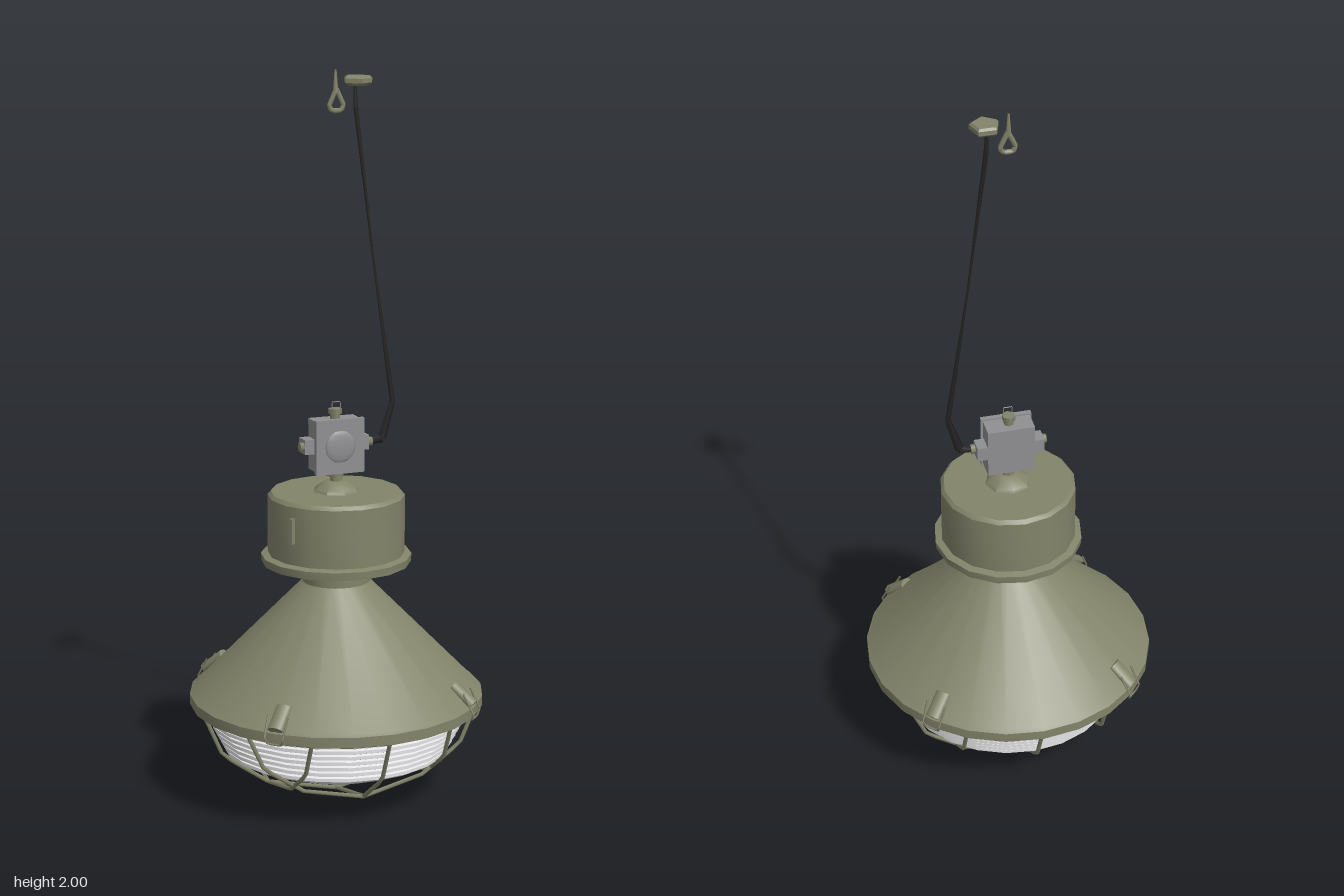
import * as THREE from 'three';
import { toCreasedNormals } from 'three/addons/utils/BufferGeometryUtils.js';

const material = (name, color) => {
  const m = new THREE.MeshStandardMaterial({ color, side: THREE.DoubleSide });
  m.name = name;
  return m;
};
const V = (x, y, z) => new THREE.Vector3(x, y, z);

export function createModel() {
  const olive = material('olive enamel', 0x82846a);
  const grey = material('grey metal', 0x909092);
  const glassGrey = material('frosted glass', 0xe4e4e6);
  const black = material('black cable', 0x222222);
  const root = new THREE.Group();
  root.name = 'cagedPendantLamp';

  const add = (name, geo, mat, pos = [0, 0, 0], parent = root) => {
    const mesh = new THREE.Mesh(geo, mat);
    mesh.name = name;
    mesh.position.set(...pos);
    parent.add(mesh);
    return mesh;
  };
  const lathe = (name, points, sides, mat, pos) => add(name, toCreasedNormals(
    new THREE.LatheGeometry(points.map(p => new THREE.Vector2(...p)), sides), 0.55), mat, pos);
  // straight-edged bar through a few points
  const bar = (name, points, radius, mat, parent = root, closed = false) => {
    const path = new THREE.CurvePath();
    const n = closed ? points.length : points.length - 1;
    for (let i = 0; i < n; i++) path.add(new THREE.LineCurve3(points[i], points[(i + 1) % points.length]));
    return add(name, new THREE.TubeGeometry(path, n * 4, radius, 5, closed), mat, [0, 0, 0], parent);
  };

  // conical shade with its rolled rim
  lathe('shade', [[0.36, 0.275], [0.395, 0.27], [0.405, 0.272], [0.405, 0.3], [0.395, 0.307], [0.093, 0.615]], 24, olive);
  lathe('neck', [[0.093, 0.61], [0.093, 0.685]], 16, olive);

  // ballast drum, with stepped underside and flange
  lathe('drum', [[0.09, 0.69], [0.13, 0.69], [0.135, 0.678], [0.165, 0.678], [0.17, 0.668], [0.204, 0.668],
    [0.206, 0.69], [0.187, 0.695], [0.187, 0.855], [0.178, 0.865], [0, 0.867]], 16, olive);
  lathe('drumBoss', [[0.064, 0.866], [0.06, 0.873], [0.03, 0.893], [0.018, 0.895], [0.018, 0.93]], 8, olive);

  // small latch on the drum's side, toward the front
  const latch = add('drumLatch', new THREE.BoxGeometry(0.014, 0.07, 0.01), olive, [-0.164, 0.79, 0.095]);
  latch.rotation.y = Math.PI / 6;

  // ribbed glass bowl
  const glass = [[0, 0.026], [0.16, 0.078], [0.3, 0.135]];
  for (let i = 0; i < 7; i++) {
    const y = 0.14 + i * 0.019, r = 0.305 + i * 0.0098;
    glass.push([r + 0.008, y + 0.003], [r + 0.008, y + 0.012], [r, y + 0.015]);
  }
  lathe('glassBowl', glass, 24, glassGrey);

  // wire guard: a grid of bars bent over the bowl
  const guard = [[0, 0.01], [0.2, 0.055], [0.28, 0.105], [0.34, 0.155], [0.37, 0.21], [0.388, 0.275]];
  const guardY = r => {
    let i = 1;
    while (i < guard.length - 1 && guard[i][0] < r) i++;
    const [a, b] = [guard[i - 1], guard[i]];
    return a[1] + (b[1] - a[1]) * (r - a[0]) / (b[0] - a[0]);
  };
  const cage = new THREE.Group();
  cage.name = 'wireGuard';
  root.add(cage);
  for (const d of [-0.2, 0, 0.2]) {
    const end = Math.sqrt(0.388 ** 2 - d * d);
    const steps = [-1, -0.86, -0.52, 0, 0.52, 0.86, 1];
    const at = s => [s * end, guardY(Math.hypot(s * end, d))];
    bar('guardBarAcross', steps.map(s => V(at(s)[0], at(s)[1], d)), 0.006, olive, cage);
    bar('guardBarAlong', steps.map(s => V(d, at(s)[1], at(s)[0])), 0.006, olive, cage);
  }
  const ring = add('guardRing', new THREE.TorusGeometry(0.385, 0.008, 5, 24), olive, [0, 0.272, 0], cage);
  ring.rotation.x = Math.PI / 2;

  // four toggle clips around the rim
  for (let i = 0; i < 4; i++) {
    const clip = new THREE.Group();
    clip.name = 'rimClip';
    clip.rotation.y = Math.PI / 4 + i * Math.PI / 2;
    root.add(clip);
    const body = add('clipBody', new THREE.CylinderGeometry(0.022, 0.022, 0.075, 8, 1), olive, [0, 0.333, 0.375], clip);
    body.rotation.x = 2.25;
    body.scale.z = 0.6;
    bar('clipWire', [V(-0.028, 0.345, 0.385), V(-0.026, 0.29, 0.414), V(-0.02, 0.272, 0.408),
      V(0.02, 0.272, 0.408), V(0.026, 0.29, 0.414), V(0.028, 0.345, 0.385)], 0.003, olive, clip);
  }

  // junction box with a slightly domed lid
  add('junctionBox', new THREE.BoxGeometry(0.13, 0.14, 0.066), grey, [0, 0.994, -0.008]);
  add('junctionLid', new THREE.BoxGeometry(0.14, 0.15, 0.014), grey, [0, 0.994, 0.025]);
  const dome = add('lidDome', new THREE.SphereGeometry(0.045, 12, 8), grey, [0, 0.994, 0.031]);
  dome.scale.z = 0.16;

  // cable glands: grey collars at the sides, olive nuts, olive stem on top
  for (const side of [-1, 1]) {
    add('glandCollar', new THREE.BoxGeometry(0.03, 0.04, 0.045), grey, [side * 0.078, 0.994, -0.014]);
    const nut = add('glandNut', new THREE.CylinderGeometry(0.013, 0.013, 0.014, 6), olive, [side * 0.098, 0.994, -0.004]);
    nut.rotation.z = Math.PI / 2;
  }
  add('topStem', new THREE.CylinderGeometry(0.014, 0.014, 0.034, 6), olive, [0, 1.075, -0.008]);
  add('topNut', new THREE.CylinderGeometry(0.019, 0.019, 0.014, 6), olive, [0, 1.085, -0.008]);
  add('lowerNut', new THREE.CylinderGeometry(0.02, 0.02, 0.016, 6), olive, [0, 0.912, 0]);
  bar('suspensionEye', [V(-0.012, 1.09, 0), V(-0.012, 1.112, 0), V(0.012, 1.112, 0), V(0.012, 1.09, 0)], 0.0015, grey);

  // supply cable: a thin flattened strand that narrows between the bends
  const cable = [[0.1, 0.992, 0.008], [0.135, 1.0, 0.013], [0.166, 1.1, 0.008], [0.108, 1.5, 0.003], [0.057, 1.9, 0.007], [0.055, 1.96, 0.004]];
  for (let i = 0; i < cable.length - 1; i++) {
    const [x0, y0, r0] = cable[i], [x1, y1, r1] = cable[i + 1];
    const piece = add('supplyCable', new THREE.CylinderGeometry(r1, r0, Math.hypot(x1 - x0, y1 - y0), 5), black,
      [(x0 + x1) / 2, (y0 + y1) / 2, -0.005]);
    piece.rotation.z = -Math.atan2(x1 - x0, y1 - y0);
    piece.scale.z = 0.6;
  }

  // ceiling cap and hook
  lathe('ceilingCap', [[0, 1.955], [0.028, 1.957], [0.04, 1.965], [0.04, 1.977], [0.034, 1.983], [0, 1.983]], 5, olive, [0.059, 0, 0]);
  bar('ceilingHook', [V(0, 1.95, 0), V(0.021, 1.905, 0), V(0.012, 1.893, 0), V(-0.012, 1.893, 0), V(-0.021, 1.905, 0)],
    0.007, olive, root, true);
  add('hookStem', new THREE.CylinderGeometry(0.003, 0.008, 0.06, 5), olive, [-0.002, 1.97, 0]);
  return root;
}
